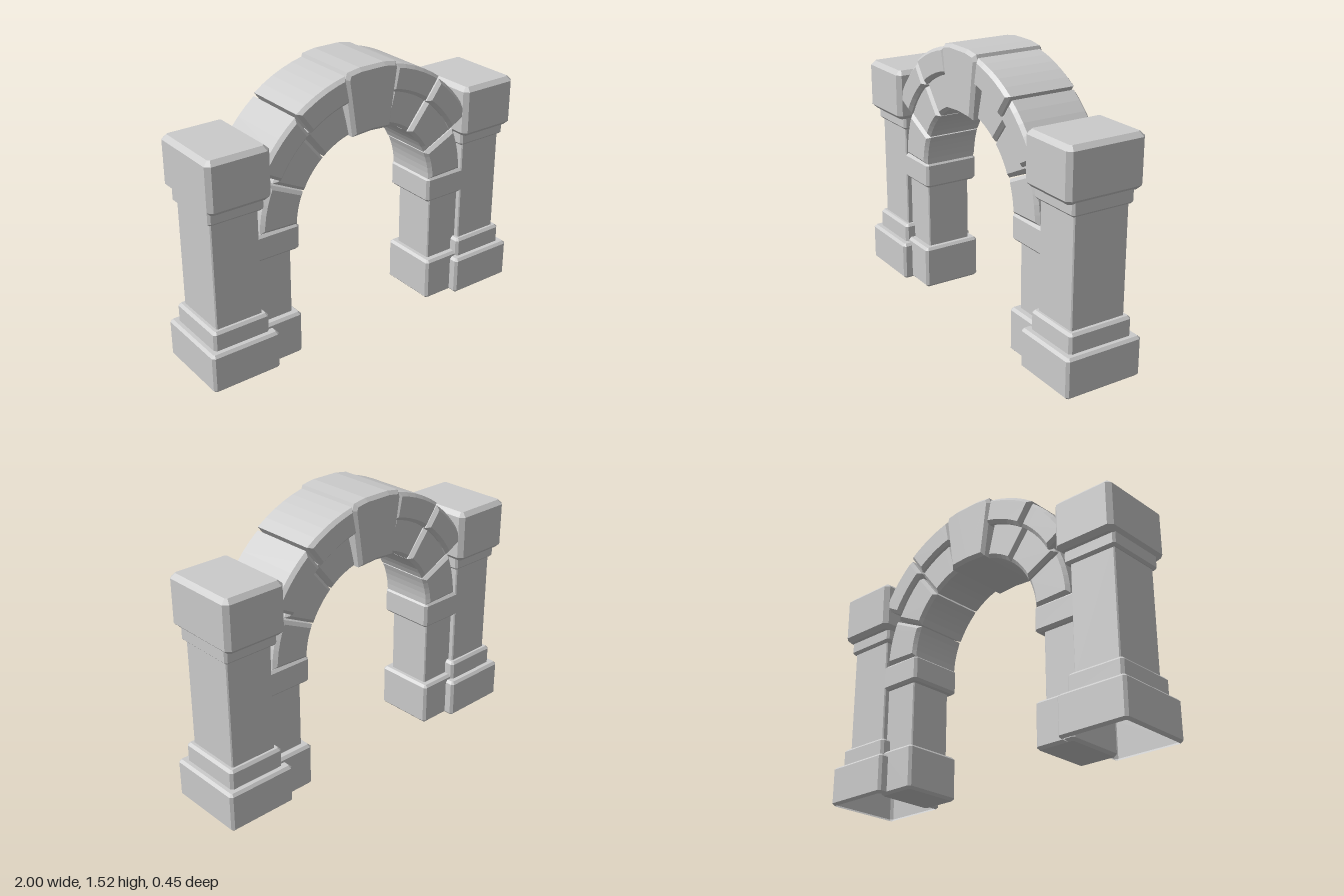
import * as THREE from 'three';

const stone = new THREE.MeshStandardMaterial({ color: 0xcccccc, flatShading: true });
const hollow = new THREE.MeshStandardMaterial({ color: 0xcccccc, flatShading: true, side: THREE.DoubleSide });

// Extrudes an outline to a total depth, with a chamfer cut inside the outline
function chamfered(points, depth, b) {
  const shape = new THREE.Shape(points.map(([x, y]) => new THREE.Vector2(x, y)));
  const geo = new THREE.ExtrudeGeometry(shape, {
    depth: depth - 2 * b, bevelThickness: b, bevelSize: b, bevelOffset: -b, bevelSegments: 1, steps: 1,
  });
  return geo.translate(0, 0, b);
}

// Block with all edges chamfered, from y0 to y1; can be left open underneath
function block(name, x0, x1, y0, y1, halfZ, b = 0.014, open = false) {
  const w = (x1 - x0) / 2, d = halfZ, c = b;
  const outline = [[w, -d + c], [w, d - c], [w - c, d], [-w + c, d], [-w, d - c], [-w, -d + c], [-w + c, -d], [w - c, -d]];
  let geo = chamfered(outline, y1 - y0, b).rotateX(-Math.PI / 2).translate((x0 + x1) / 2, y0, 0);
  if (open) {
    const p = geo.attributes.position.array, n = geo.attributes.normal.array, kept = [];
    for (let i = 0; i < p.length; i += 9) if (n[i + 1] > -0.99) kept.push(...p.slice(i, i + 9));
    geo = new THREE.BufferGeometry().setAttribute('position', new THREE.Float32BufferAttribute(kept, 3));
    geo.computeVertexNormals();
  }
  const mesh = new THREE.Mesh(geo, open ? hollow : stone);
  mesh.name = name;
  return mesh;
}

// Wedge-shaped arch stone between two radii and two angles (degrees from +x)
const CENTRE_Y = 0.74;
function archStone(name, r0, r1, a0, a1, halfZ) {
  const points = [], steps = 5;
  const add = (r, deg) => {
    const a = THREE.MathUtils.degToRad(deg);
    points.push([r * Math.cos(a), CENTRE_Y + r * Math.sin(a)]);
  };
  for (let i = 0; i <= steps; i++) add(r1, a0 + (a1 - a0) * i / steps);
  for (let i = steps; i >= 0; i--) add(r0, a0 + (a1 - a0) * i / steps);
  const mesh = new THREE.Mesh(chamfered(points, 2 * halfZ, 0.018).translate(0, 0, -halfZ), stone);
  mesh.name = name;
  return mesh;
}

// Pillars and arch stones of one side, built on the left
function buildSide(name) {
  const side = new THREE.Group();
  side.name = name;
  side.add(
    // Outer pillar
    block('pillarBase', 0.605, 1.0, 0, 0.22, 0.225, 0.014, true),
    block('pillarStep', 0.64, 0.965, 0.2, 0.325, 0.187),
    block('pillarShaft', 0.667, 0.935, 0.3, 0.93, 0.16, 0.006),
    block('pillarNeck', 0.64, 0.952, 0.908, 0.995, 0.18, 0.012),
    block('pillarCap', 0.617, 0.97, 0.975, 1.258, 0.225, 0.024),
    // Inner pillar carrying the arch
    block('innerBase', 0.43, 0.66, 0, 0.245, 0.172),
    block('innerShaft', 0.465, 0.69, 0.22, 0.64, 0.13, 0.006),
    block('innerCap', 0.425, 0.69, 0.615, 0.76, 0.16),
    // Arch stones
    archStone('springerStone', 0.435, 0.655, 2, 25, 0.166),
    archStone('innerStone', 0.435, 0.64, 26, 51, 0.17),
    archStone('innerStone', 0.435, 0.64, 52, 75.5, 0.17),
    archStone('outerStone', 0.62, 0.755, 28.5, 53, 0.2),
    archStone('outerStone', 0.62, 0.765, 54, 78, 0.203),
  );
  return side;
}

export function createModel() {
  const model = new THREE.Group();
  model.name = 'stoneArch';
  const left = buildSide('leftSide'), right = buildSide('rightSide');

  // Mirror the right side, reversing the triangles so they still face out
  for (const mesh of right.children) {
    const geo = mesh.geometry.scale(-1, 1, 1);
    const p = geo.attributes.position, a = new THREE.Vector3(), b = new THREE.Vector3();
    for (let i = 0; i < p.count; i += 3) {
      a.fromBufferAttribute(p, i);
      b.fromBufferAttribute(p, i + 1);
      p.setXYZ(i, b.x, b.y, b.z);
      p.setXYZ(i + 1, a.x, a.y, a.z);
    }
    geo.computeVertexNormals();
  }

  // Keystone
  const half = [[0.118, 1.16], [0.163, 1.47], [0.15, 1.505], [0.075, 1.517]];
  const outline = [[0, 1.168], ...half, ...half.map(([x, y]) => [-x, y]).reverse()];
  const keystone = new THREE.Mesh(chamfered(outline, 0.416, 0.018).translate(0, 0, -0.208), stone);
  keystone.name = 'keystone';

  model.add(left, right, keystone);
  return model;
}
